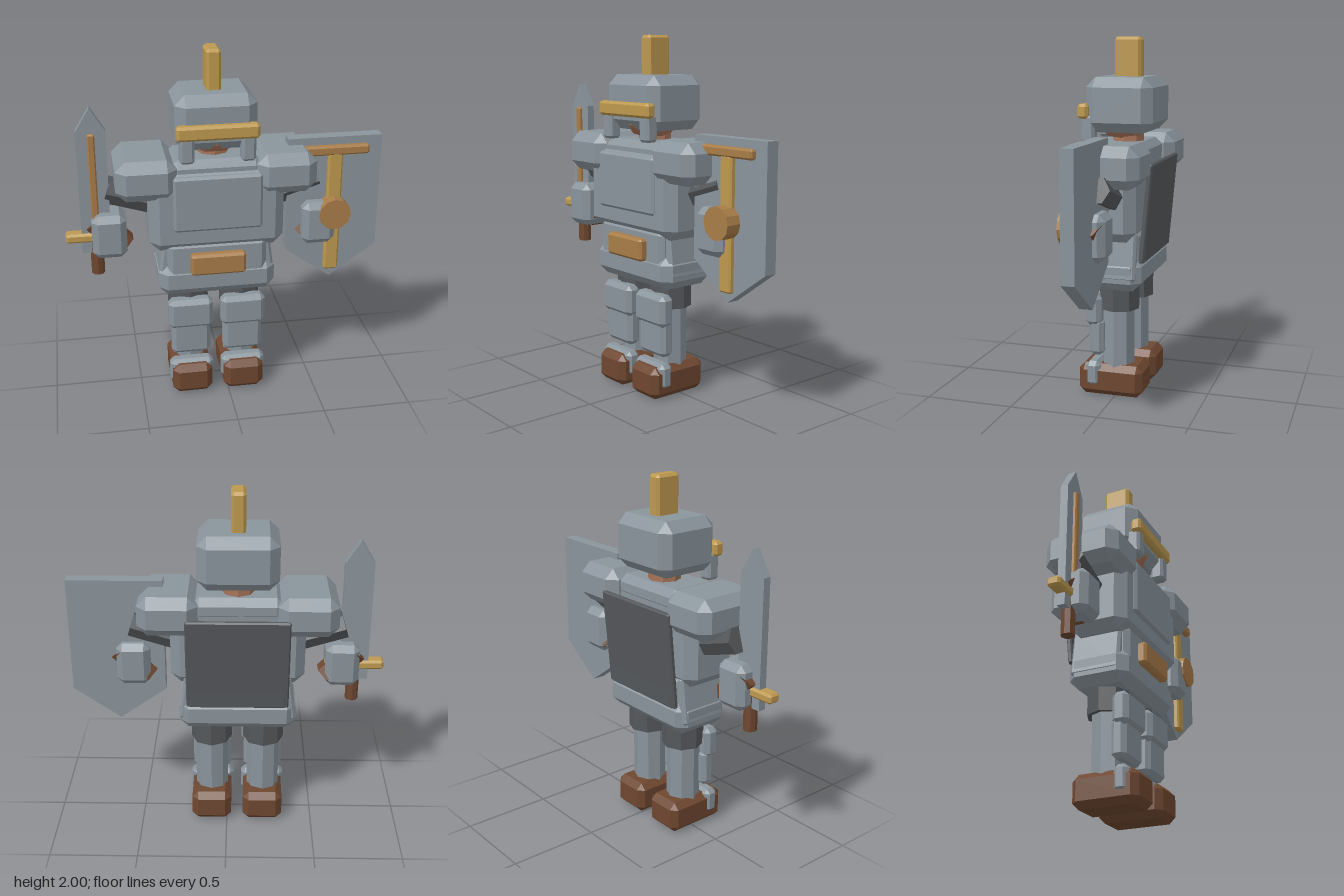
import * as THREE from 'three';
import { ConvexGeometry } from 'three/addons/geometries/ConvexGeometry.js';

const mat = (name, color) => {
  const m = new THREE.MeshStandardMaterial({ color, flatShading: true });
  m.name = name;
  return m;
};

// Box with flat bevelled edges and corners
function bevelBox(w, h, d, c) {
  const pts = [];
  for (const x of [-1, 1]) for (const y of [-1, 1]) for (const z of [-1, 1]) {
    const X = w / 2, Y = h / 2, Z = d / 2;
    pts.push(new THREE.Vector3(x * X, y * (Y - c), z * (Z - c)));
    pts.push(new THREE.Vector3(x * (X - c), y * Y, z * (Z - c)));
    pts.push(new THREE.Vector3(x * (X - c), y * (Y - c), z * Z));
  }
  return new ConvexGeometry(pts);
}

// Flat plate extruded from an outline, spanning z0..z1
function plate(outline, z0, z1) {
  const shape = new THREE.Shape(outline.map(p => new THREE.Vector2(...p)));
  return new THREE.ExtrudeGeometry(shape, { depth: z1 - z0, bevelEnabled: false }).translate(0, 0, z0);
}

export function createModel() {
  const steel = mat('steel', 0x8a949c);
  const dark = mat('darkCloth', 0x55585b);
  const gold = mat('gold', 0xbd994f);
  const bronze = mat('bronze', 0xa87c48);
  const leather = mat('leather', 0x6e4730);
  const skin = mat('skin', 0xa8755a);

  const root = new THREE.Group();
  root.name = 'knight';
  const body = new THREE.Group();
  body.name = 'body';
  body.position.x = -0.06;
  root.add(body);

  const add = (parent, name, geo, material) => {
    const m = new THREE.Mesh(geo, material);
    m.name = name;
    parent.add(m);
    return m;
  };
  // Bevelled box given by its extents
  const box = (parent, name, material, [x0, x1], [y0, y1], [z0, z1], c) => {
    const m = add(parent, name, bevelBox(x1 - x0, y1 - y0, z1 - z0, c), material);
    m.position.set((x0 + x1) / 2, (y0 + y1) / 2, (z0 + z1) / 2);
    return m;
  };
  // Cylinder running between two points
  const rod = (parent, name, material, a, b, r, sides) => {
    const A = new THREE.Vector3(...a), B = new THREE.Vector3(...b);
    const dir = B.clone().sub(A);
    const m = add(parent, name, new THREE.CylinderGeometry(r, r, dir.length(), sides), material);
    m.position.copy(A).add(B).multiplyScalar(0.5);
    m.quaternion.setFromUnitVectors(new THREE.Vector3(0, 1, 0), dir.normalize());
    return m;
  };

  // Head and helmet
  const head = add(body, 'head', new THREE.IcosahedronGeometry(0.18, 1), skin);
  head.position.set(0, 1.605, 0.01);
  box(body, 'helmet', steel, [-0.22, 0.22], [1.485, 1.785], [-0.195, 0.185], 0.055);
  box(body, 'browBand', gold, [-0.22, 0.22], [1.56, 1.64], [0.16, 0.222], 0.014);
  box(body, 'crest', gold, [-0.04, 0.04], [1.74, 2.0], [-0.09, 0.063], 0.015);

  // Torso
  rod(body, 'neck', skin, [0, 1.36, -0.01], [0, 1.5, -0.01], 0.09, 8);
  box(body, 'torso', steel, [-0.372, 0.372], [0.91, 1.4], [-0.145, 0.19], 0.055);
  box(body, 'collar', steel, [-0.25, 0.25], [1.3, 1.43], [-0.15, 0.17], 0.04);
  box(body, 'chestPlate', steel, [-0.243, 0.243], [1.04, 1.355], [0.15, 0.208], 0.014);

  // Waist and skirt
  box(body, 'waist', steel, [-0.278, 0.278], [0.7, 0.96], [-0.14, 0.175], 0.03);
  box(body, 'skirt', steel, [-0.328, 0.328], [0.63, 0.82], [-0.165, 0.18], 0.05);
  box(body, 'buckle', bronze, [-0.153, 0.153], [0.775, 0.9], [0.16, 0.22], 0.014);

  // Cape hanging from behind the shoulders
  const cape = box(body, 'cape', dark, [-0.285, 0.285], [0.79, 1.335], [-0.202, -0.172], 0.008);
  cape.rotation.x = -0.09;
  const hem = box(body, 'capeHem', dark, [-0.27, 0.27], [0.79, 1.01], [-0.187, -0.16], 0.008);
  hem.rotation.x = -0.04;

  for (const s of [-1, 1]) {
    const side = new THREE.Group();
    side.name = s > 0 ? 'leftSide' : 'rightSide';
    body.add(side);
    const span = (a, b) => s > 0 ? [a, b] : [-b, -a];

    // Helmet cheek, shoulder and hip plates
    box(side, 'cheekGuard', steel, span(0.125, 0.203), [1.43, 1.58], [0.13, 0.207], 0.014);
    box(side, 'pauldron', steel, span(0.215, 0.545), [1.225, 1.45], [-0.212, 0.222], 0.055);
    const hip = box(side, 'hipPlate', steel, span(0.265, 0.315), [0.69, 0.96], [-0.14, 0.14], 0.014);
    hip.rotation.z = s * 0.13;

    // Arm
    rod(side, 'upperArm', dark, [s * 0.59, 1.235, -0.01], [s * 0.3, 1.145, -0.01], 0.077, 6);
    rod(side, 'forearm', leather, [s * 0.66, 1.07, 0.01], [s * 0.5, 0.905, 0.01], 0.076, 6);
    box(side, 'gauntlet', steel, span(0.49, 0.68), [0.87, 1.12], [-0.08, 0.13], 0.035);

    // Leg
    const x = s * 0.15;
    rod(side, 'thigh', dark, [x, 0.5, 0], [x, 0.72, 0], 0.117, 8);
    rod(side, 'shin', steel, [x, 0.14, 0.005], [x, 0.6, 0.005], 0.094, 8);
    box(side, 'kneeGuard', steel, [x - 0.127, x + 0.127], [0.41, 0.59], [0.072, 0.167], 0.026);
    box(side, 'shinGuard', steel, [x - 0.112, x + 0.112], [0.235, 0.45], [0.062, 0.148], 0.024);
    box(side, 'boot', leather, [x - 0.115, x + 0.115], [0, 0.182], [-0.16, 0.212], 0.035);
    box(side, 'bootGuard', steel, [x - 0.126, x + 0.126], [0.055, 0.2], [0.08, 0.167], 0.024);
  }

  // Sword in the right hand
  const sword = new THREE.Group();
  sword.name = 'sword';
  sword.position.set(-0.715, 0, 0);
  root.add(sword);
  add(sword, 'blade', plate([[-0.08, 0.885], [0.08, 0.885], [0.08, 1.585], [0, 1.715], [-0.08, 1.585]], 0.002, 0.046), steel);
  box(sword, 'fuller', bronze, [-0.02, 0.02], [1.0, 1.575], [0.035, 0.065], 0.007);
  box(sword, 'guard', gold, [-0.167, 0.167], [0.95, 1.003], [-0.012, 0.062], 0.012);
  rod(sword, 'grip', leather, [0, 0.75, 0.024], [0, 1.0, 0.024], 0.037, 8);

  // Shield on the left arm
  const shield = new THREE.Group();
  shield.name = 'shield';
  shield.position.set(0.615, 0, 0);
  root.add(shield);
  add(shield, 'shieldPlate', plate([[-0.265, 1.485], [-0.265, 0.82], [0, 0.63], [0.265, 0.82], [0.265, 1.485]], -0.02, 0.053), steel);
  box(shield, 'shieldUpright', gold, [-0.042, 0.042], [0.685, 1.4], [0.04, 0.083], 0.01);
  box(shield, 'shieldCrossbar', bronze, [-0.188, 0.188], [1.388, 1.442], [0.045, 0.088], 0.01);
  rod(shield, 'shieldBoss', bronze, [-0.005, 1.055, 0.05], [-0.005, 1.055, 0.14], 0.09, 12);

  return root;
}
